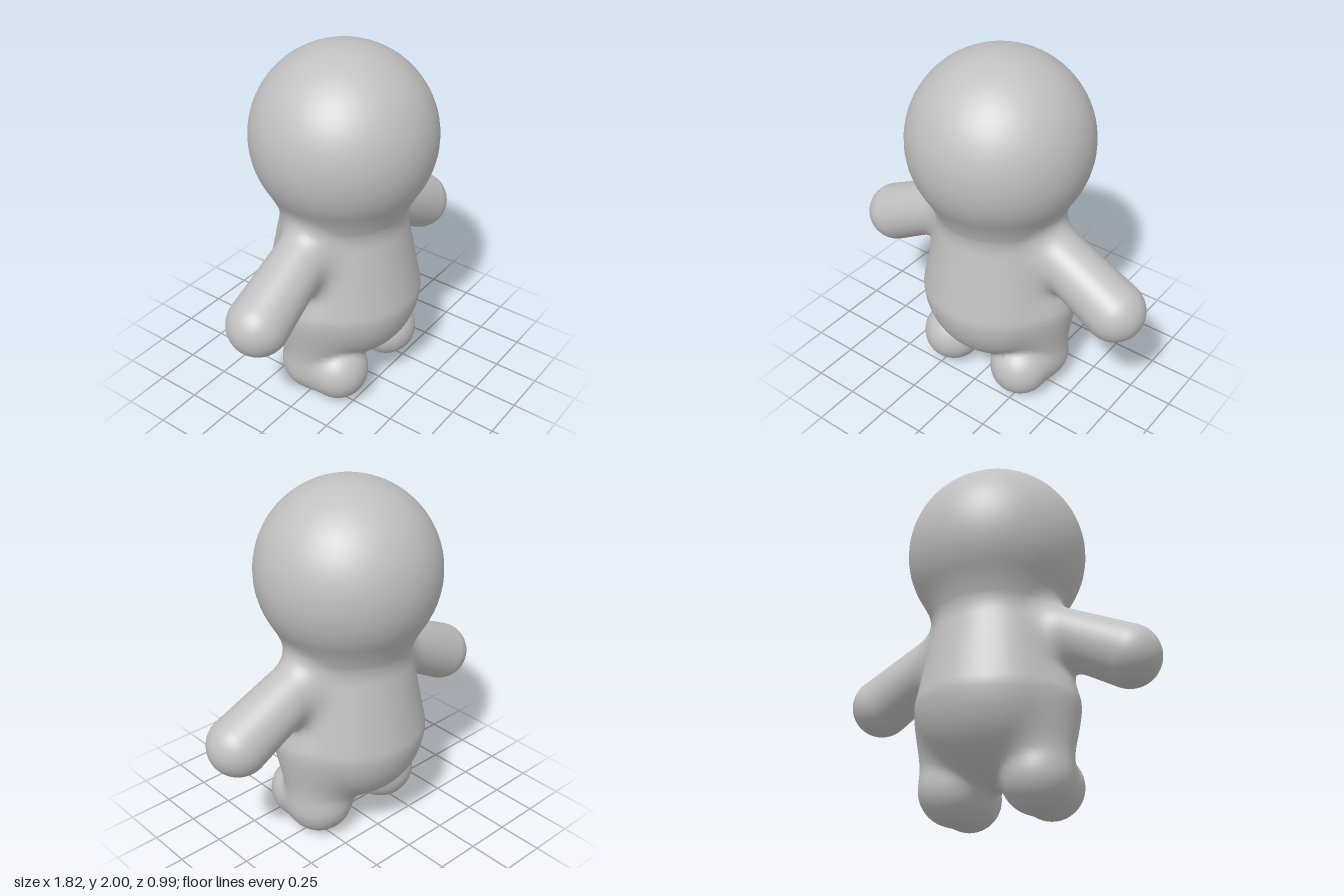
import * as THREE from 'three';

const V = (x, y, z) => new THREE.Vector3(x, y, z);

// Each part is a rounded cone from a (radius ra) to b (radius rb);
// k is how softly it melts into the parts before it.
const parts = [];
const addPart = (name, a, ra, b, rb, k) => parts.push({ name, a, ra, b, rb, k });
addPart('head', V(0, 1.505, 0), 0.493, V(0, 1.507, 0), 0.493, 0.1);
addPart('torso', V(0, 0.6, 0), 0.43, V(0, 1.1, 0), 0.33, 0.12);
for (const [side, s] of [['left', 1], ['right', -1]]) {
  addPart(side + 'Arm', V(0.3 * s, 0.98, 0), 0.145, V(0.745 * s, 0.75, 0.015), 0.165, 0.1);
  addPart(side + 'Leg', V(0.26 * s, 0.55, 0), 0.18, V(0.24 * s, 0.187, -0.02), 0.18, 0.09);
  addPart(side + 'Foot', V(0.24 * s, 0.187, -0.02), 0.18, V(0.24 * s, 0.177, 0.135), 0.17, 0.03);
}

// Signed distance to one rounded cone
const pa = V(0, 0, 0), ba = V(0, 0, 0);
function partDistance(p, { a, ra, b, rb }) {
  pa.subVectors(p, a);
  ba.subVectors(b, a);
  const t = THREE.MathUtils.clamp(pa.dot(ba) / ba.lengthSq(), 0, 1);
  return pa.addScaledVector(ba, -t).length() - (ra + (rb - ra) * t);
}

// Signed distance to the whole softly blended body
function bodyDistance(p) {
  let d = 10;
  for (const part of parts) {
    const e = partDistance(p, part);
    const h = Math.max(part.k - Math.abs(d - e), 0) / part.k;
    d = Math.min(d, e) - h * h * part.k / 4;
  }
  return d;
}

const q = V(0, 0, 0);
function gradient(p, target) {
  const e = 0.002;
  for (const axis of ['x', 'y', 'z']) {
    q.copy(p)[axis] += e;
    const d = bodyDistance(q);
    q[axis] -= 2 * e;
    target[axis] = (d - bodyDistance(q)) / (2 * e);
  }
  return target;
}

// Lathe a rounded cone along y, then aim it from a to b
function roundedCone({ a, ra, b, rb }) {
  const axis = V(0, 0, 0).subVectors(b, a), length = axis.length();
  const profile = [], arc = 20, rows = Math.ceil(length / 0.025);
  for (let i = 0; i <= arc; i++) {
    const t = (i / arc - 1) * Math.PI / 2;
    profile.push(new THREE.Vector2(ra * Math.cos(t), ra * Math.sin(t)));
  }
  for (let i = 1; i < rows; i++) {
    profile.push(new THREE.Vector2(ra + (rb - ra) * i / rows, length * i / rows));
  }
  for (let i = 0; i <= arc; i++) {
    const t = i / arc * Math.PI / 2;
    profile.push(new THREE.Vector2(rb * Math.cos(t), length + rb * Math.sin(t)));
  }
  const geometry = new THREE.LatheGeometry(profile, 56);
  geometry.applyQuaternion(new THREE.Quaternion().setFromUnitVectors(V(0, 1, 0), axis.normalize()));
  return geometry.translate(a.x, a.y, a.z);
}

// Pull vertices near the skin onto the blended surface, with matching normals
function meltIntoBody(geometry) {
  const { position, normal } = geometry.attributes;
  const p = V(0, 0, 0), g = V(0, 0, 0);
  for (let i = 0; i < position.count; i++) {
    p.fromBufferAttribute(position, i);
    if (bodyDistance(p) > -0.08) {
      for (let step = 0; step < 5; step++) {
        gradient(p, g);
        p.addScaledVector(g, -bodyDistance(p) / Math.max(g.lengthSq(), 0.2));
      }
    }
    gradient(p, g).normalize();
    position.setXYZ(i, p.x, p.y, p.z);
    normal.setXYZ(i, g.x, g.y, g.z);
  }
  return geometry;
}

export function createModel() {
  const model = new THREE.Group();
  model.name = 'roundFigure';
  const skin = new THREE.MeshStandardMaterial({ color: 0xc0c0c0 });
  skin.name = 'light grey';
  for (const part of parts) {
    const mesh = new THREE.Mesh(meltIntoBody(roundedCone(part)), skin);
    mesh.name = part.name;
    model.add(mesh);
  }
  return model;
}
